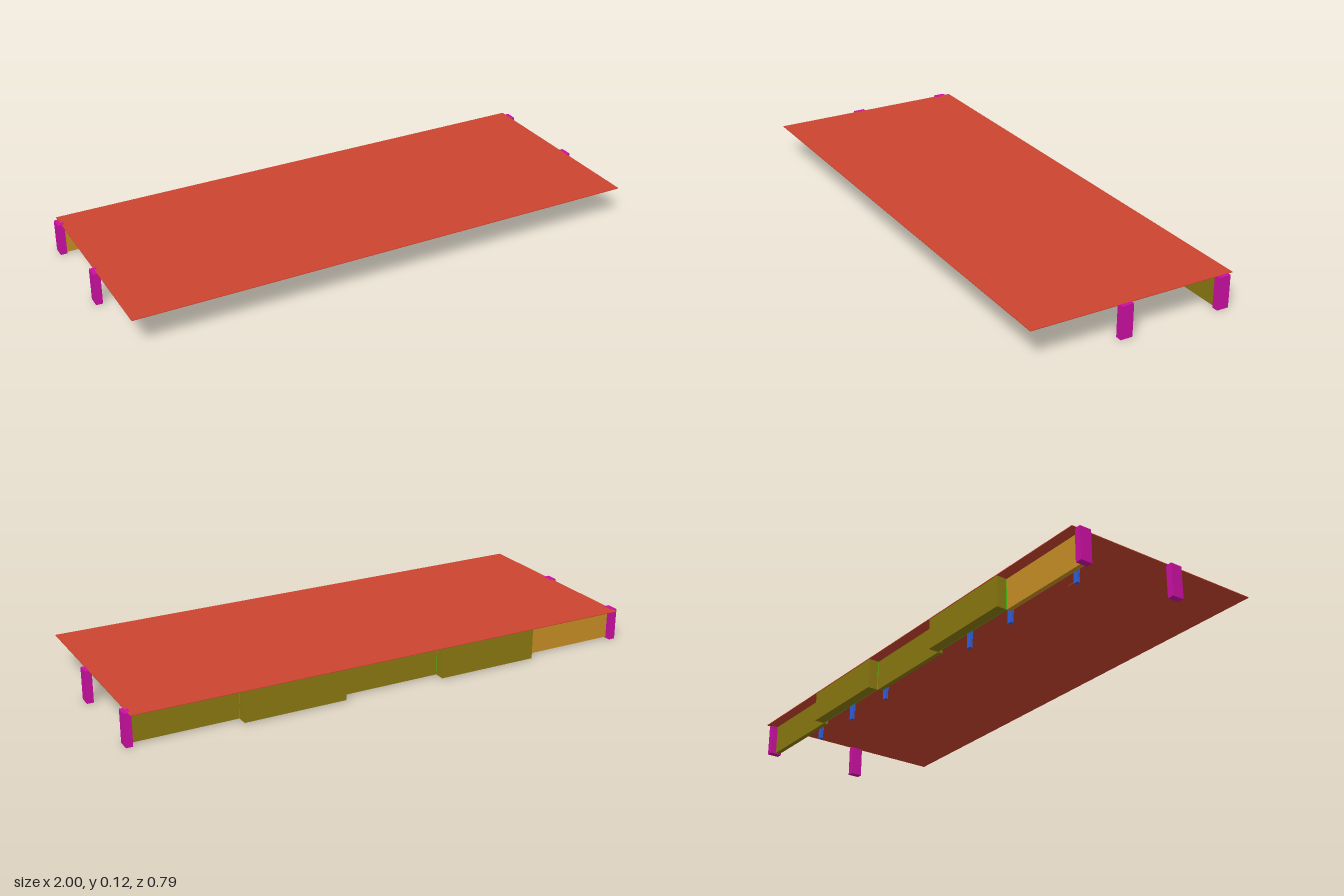
import * as THREE from 'three';

const mat = (color) => new THREE.MeshStandardMaterial({ color });
const red = mat(0xcc4530), magenta = mat(0xcc10a2), olive = mat(0x8c7a10);
const orange = mat(0xca9024), green = mat(0x3fcc16), blue = mat(0x3060e0);

// Box given by its extents along each axis
function box(name, material, [x0, x1], [y0, y1], [z0, z1]) {
  const mesh = new THREE.Mesh(new THREE.BoxGeometry(x1 - x0, y1 - y0, z1 - z0), material);
  mesh.position.set((x0 + x1) / 2, (y0 + y1) / 2, (z0 + z1) / 2);
  mesh.name = name;
  return mesh;
}

export function createModel() {
  const model = new THREE.Group();
  model.name = 'shelter';

  // Thin flat roof
  model.add(box('roof', red, [-0.985, 0.985], [0.12, 0.1225], [-0.395, 0.393]));

  // Four posts, mirrored left and right, standing just past the roof edge
  for (const side of [-1, 1]) {
    for (const z of [0.038, -0.352]) {
      const post = box('post', magenta, [-0.0125, 0.0125], [0, 0.1225], [z - 0.023, z + 0.023]);
      post.position.x = side * 0.9875;
      model.add(post);
    }
  }

  // Back wall of five boards; every second one is set back and lined in green
  const joints = [-0.98, -0.595, -0.2, 0.195, 0.585, 0.98];
  const height = [0.004, 0.12];
  for (let i = 0; i < 5; i++) {
    const span = [joints[i], joints[i + 1]];
    if (i % 2) {
      model.add(box('outerWallBoard', olive, span, height, [-0.393, -0.355]));
      model.add(box('wallLining', green, span, height, [-0.355, -0.352]));
    } else {
      model.add(box('innerWallBoard', i === 0 ? orange : olive, span, height, [-0.352, -0.334]));
    }
  }

  // Slim uprights in front of the wall, each with a small plate
  for (const x of [-0.87, -0.525, -0.29, 0.25, 0.49, 0.73]) {
    model.add(box('upright', blue, [x - 0.009, x + 0.009], height, [-0.288, -0.277]));
    model.add(box('uprightPlate', blue, [x - 0.006, x + 0.006], [0.041, 0.083], [-0.277, -0.273]));
  }

  // Small flat fitting under the roof
  model.add(box('ceilingFitting', red, [-0.72, -0.68], [0.118, 0.12], [-0.158, -0.153]));

  return model;
}
